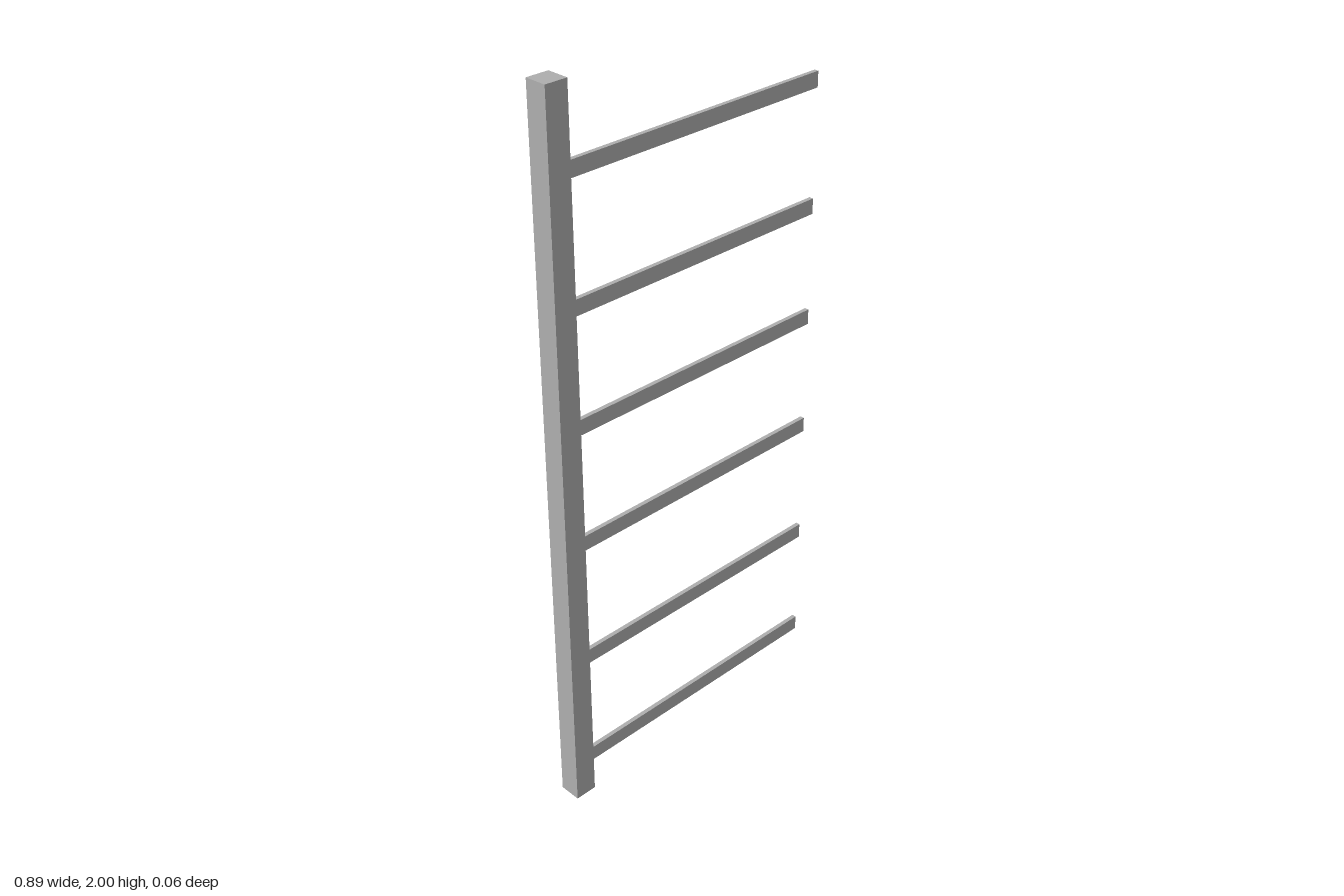
import * as THREE from 'three';

const POST_X = [-0.445, -0.383];
const RAIL_END = 0.445;
const RAIL_HEIGHTS = [0.091, 0.425, 0.783, 1.12, 1.44, 1.78];

export function createModel() {
  const model = new THREE.Group();
  model.name = 'railPost';

  const grey = new THREE.MeshStandardMaterial({ color: 0xb0b0b0, side: THREE.DoubleSide });
  grey.name = 'grey';

  // Square upright post, hollow and open underneath
  const postGeometry = new THREE.BoxGeometry(POST_X[1] - POST_X[0], 2, 0.061);
  const index = Array.from(postGeometry.index.array);
  index.splice(18, 6); // drop the bottom face
  postGeometry.setIndex(index);
  postGeometry.clearGroups();
  const post = new THREE.Mesh(postGeometry, grey);
  post.name = 'post';
  post.position.set((POST_X[0] + POST_X[1]) / 2, 1, 0);
  model.add(post);

  // Thin flat rails reaching out to one side
  const railGeometry = new THREE.BoxGeometry(RAIL_END - POST_X[1], 0.043, 0.012);
  RAIL_HEIGHTS.forEach((y, i) => {
    const rail = new THREE.Mesh(railGeometry, grey);
    rail.name = `rail${i + 1}`;
    rail.position.set((RAIL_END + POST_X[1]) / 2, y, -0.002);
    model.add(rail);
  });

  return model;
}
